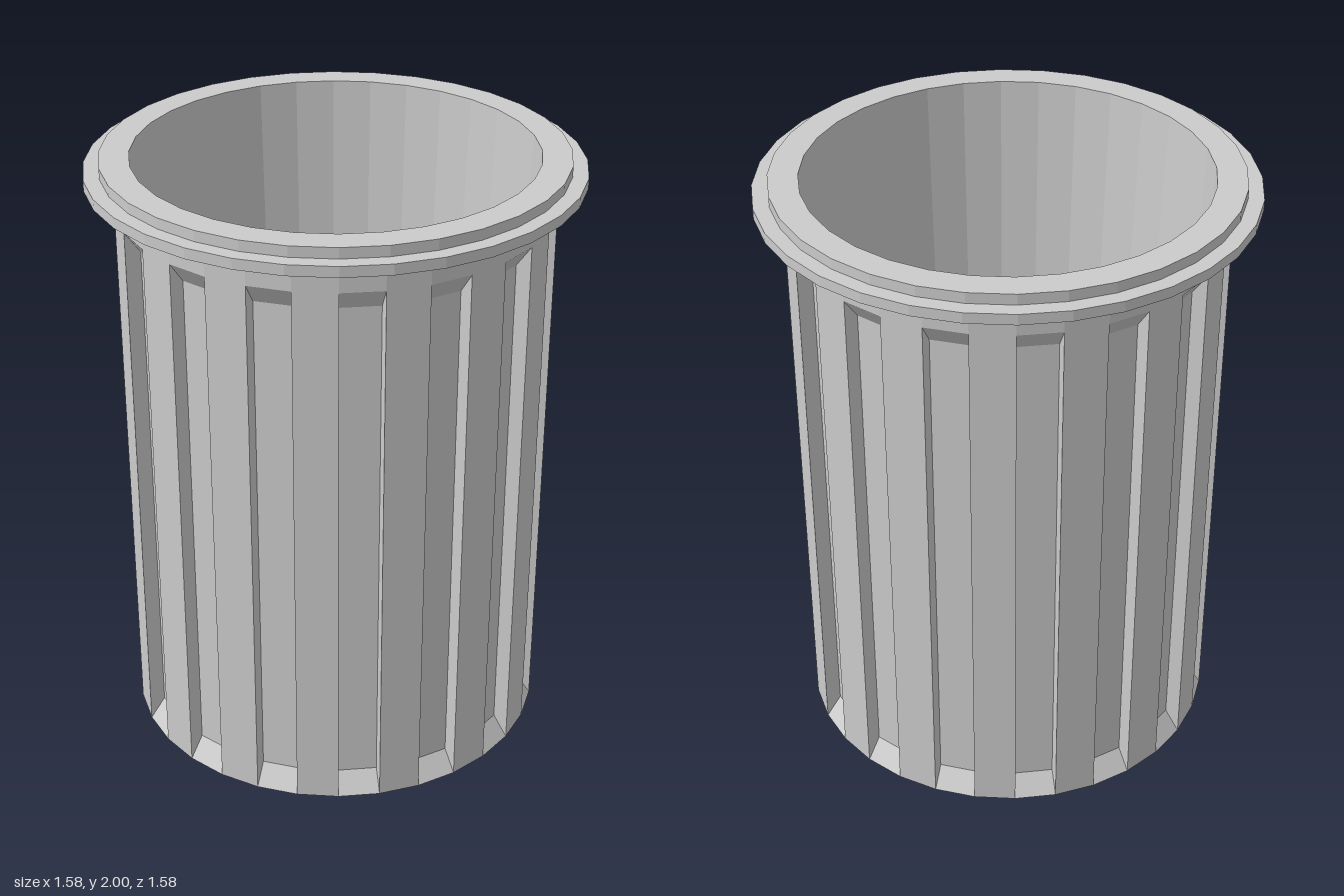
import * as THREE from 'three';

const SIDES = 32;
const R_OUT = 0.7, R_IN = 0.65;      // rib face and recess face radii
const Y_TOP = 1.84, SLOPE = 0.07;    // top of the fluted wall, height of the recess ramps

const material = new THREE.MeshStandardMaterial({ color: 0xcccccc, flatShading: true });

// Revolves a list of [radius, height] pairs
function turned(name, profile) {
  const points = profile.map(([r, y]) => new THREE.Vector2(r, y));
  const mesh = new THREE.Mesh(new THREE.LatheGeometry(points, SIDES), material);
  mesh.name = name;
  return mesh;
}

// Outer wall: every other side is a recess with radial cheeks and sloped ends
function flutedWall() {
  const positions = [];
  const at = (i, r, y) => {
    const a = (i / SIDES) * Math.PI * 2;
    return [r * Math.sin(a), y, r * Math.cos(a)];
  };
  const quad = (a, b, c, d) => positions.push(...a, ...b, ...c, ...a, ...c, ...d);

  for (let i = 0; i < SIDES; i++) {
    const [B0, B1] = [at(i, R_OUT, 0), at(i + 1, R_OUT, 0)];
    const [T0, T1] = [at(i, R_OUT, Y_TOP), at(i + 1, R_OUT, Y_TOP)];
    if (i % 2) {
      quad(B0, B1, T1, T0); // raised rib
      continue;
    }
    const [b0, b1] = [at(i, R_IN, SLOPE), at(i + 1, R_IN, SLOPE)];
    const [t0, t1] = [at(i, R_IN, Y_TOP - SLOPE), at(i + 1, R_IN, Y_TOP - SLOPE)];
    quad(b0, b1, t1, t0); // recess face
    quad(B0, B1, b1, b0); // lower ramp
    quad(t0, t1, T1, T0); // upper ramp
    quad(B0, b0, t0, T0); // cheeks
    quad(b1, B1, T1, t1);
  }
  const geometry = new THREE.BufferGeometry();
  geometry.setAttribute('position', new THREE.Float32BufferAttribute(positions, 3));
  geometry.computeVertexNormals();
  const mesh = new THREE.Mesh(geometry, material);
  mesh.name = 'flutedWall';
  return mesh;
}

export function createModel() {
  const group = new THREE.Group();
  group.name = 'bin';
  group.add(
    flutedWall(),
    turned('base', [[0, 0], [R_OUT, 0]]),
    // Plain collar and stepped rim
    turned('rim', [
      [R_OUT, Y_TOP], [R_OUT, 1.93], [0.79, 1.93], [0.79, 1.965],
      [0.74, 1.965], [0.74, 2], [0.645, 2],
    ]),
    // Tapered inside and floor
    turned('interior', [[0.645, 2], [0.555, 0.07], [0, 0.07]]),
  );
  return group;
}
